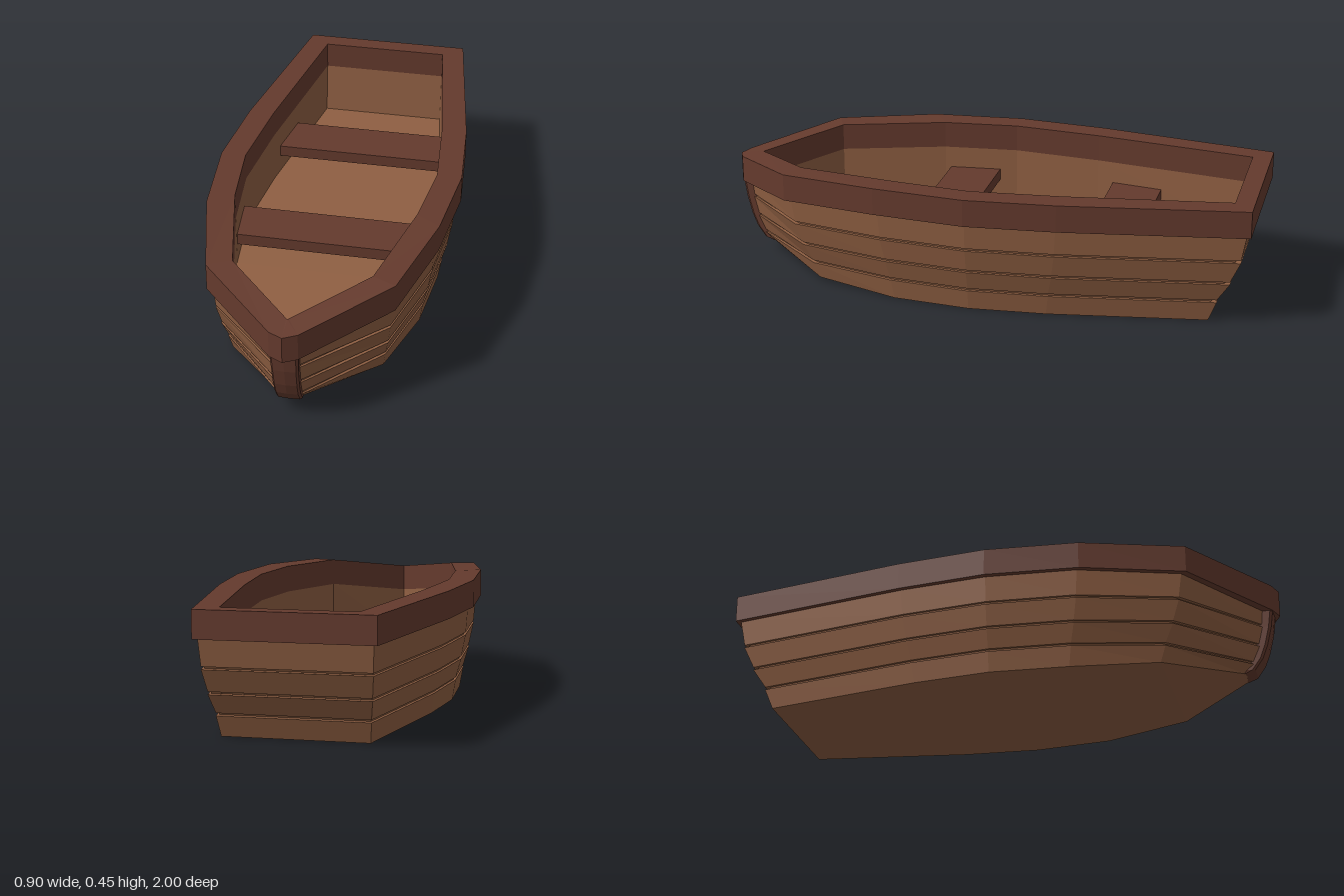
import * as THREE from 'three';

// Closed ring from half-outline points [x, y, z], stern to bow on +x, then mirrored
const ring = half => [
  ...half,
  ...half.slice().reverse().map(([x, y, z]) => [-x, y, z]),
];

// Flat-faced skin through successive rings, with optional caps
function loft(name, halves, material, { bottom = false, top = false } = {}) {
  const rings = halves.map(ring);
  const n = rings[0].length;
  const pos = [];
  const quad = (a, b, c, d) => pos.push(...a, ...d, ...c, ...a, ...c, ...b);
  for (let k = 0; k < rings.length - 1; k++) {
    const lo = rings[k], hi = rings[k + 1];
    for (let i = 0; i < n; i++) {
      const j = (i + 1) % n;
      quad(lo[i], lo[j], hi[j], hi[i]);
    }
  }
  const cap = (r, up) => {
    for (let i = 0; i < n / 2 - 1; i++) {
      const a = r[i], b = r[i + 1], c = r[n - 2 - i], d = r[n - 1 - i];
      if (up) quad(a, b, c, d);
      else quad(a, d, c, b);
    }
  };
  if (bottom) cap(rings[0], false);
  if (top) cap(rings[rings.length - 1], true);
  const g = new THREE.BufferGeometry();
  g.setAttribute('position', new THREE.Float32BufferAttribute(pos, 3));
  g.computeVertexNormals();
  const mesh = new THREE.Mesh(g, material);
  mesh.name = name;
  return mesh;
}

export function createModel() {
  const boat = new THREE.Group();
  boat.name = 'rowingBoat';
  const plank = new THREE.MeshStandardMaterial({ color: 0x8f5f42 });
  plank.name = 'light wood';
  const trim = new THREE.MeshStandardMaterial({ color: 0x643a2d });
  trim.name = 'dark wood';

  // Hull outline at the top of the planking; sheer says how far each point follows the bow
  const outline = [[0.298, -0.985], [0.405, -0.325], [0.432, 0], [0.405, 0.33], [0.315, 0.69]];
  const sheer = [0, 0, 0, 0, 0.35];
  const hullRing = (width, midY, bowY, bowZ) => {
    const s = width / 0.432;
    const pts = outline.map(([x, z], i) => [x * s, midY + (bowY - midY) * sheer[i], z * s]);
    pts.push([0.04, bowY, bowZ - 0.01], [0, bowY, bowZ]);
    return pts;
  };

  // Overlapping planks: a narrow groove at every seam
  const hull = [hullRing(0.375, 0, 0.045, 0.875)];
  const seams = [[0.388, 0.08, 0.083, 0.915], [0.408, 0.16, 0.15, 0.94], [0.424, 0.25, 0.225, 0.955]];
  for (const [w, y, by, bz] of seams) {
    for (const [dw, dy] of [[0, -0.005], [0.009, -0.004], [0.009, 0.004], [0.002, 0.005]]) {
      hull.push(hullRing(w - dw + (dy > 0 ? 0.002 : 0), y + dy, by + dy, bz - dw));
    }
  }
  hull.push(hullRing(0.432, 0.355, 0.295, 0.962));
  boat.add(loft('hullPlanks', hull, plank, { bottom: true }));

  // Rim around the top edge
  const rimOuter = [[0.313, 0.45, -1], [0.422, 0.45, -0.33], [0.452, 0.45, 0], [0.422, 0.45, 0.34],
    [0.33, 0.434, 0.71], [0.05, 0.382, 0.978], [0, 0.378, 1]];
  const rimInner = [[0.238, 0.45, -0.93], [0.328, 0.45, -0.33], [0.36, 0.45, 0], [0.332, 0.45, 0.28],
    [0.245, 0.436, 0.67], [0.004, 0.392, 0.906], [0, 0.392, 0.91]];
  const drop = (half, d) => half.map(([x, y, z]) => [x, y - d, z]);
  const hullTop = hull[hull.length - 1].map(([x, y, z], i) => [x * 0.98, rimOuter[i][1] - 0.1, z * 0.98]);
  boat.add(loft('rim', [hullTop, drop(rimOuter, 0.1), rimOuter, rimInner, drop(rimInner, 0.1)], trim));

  // Inner walls and floor
  const floor = drop(rimInner, 0.292);
  floor[0][2] = -0.912;
  floor[5][2] = 0.89;
  floor[6][2] = 0.894;
  boat.add(loft('innerWallsAndFloor', [drop(rimInner, 0.1), floor], plank, { top: true }));

  // Curved stem post at the bow
  const stem = [[0.042, 0.045, 0.88], [0.045, 0.056, 0.905], [0.045, 0.1, 0.936],
    [0.046, 0.15, 0.955], [0.047, 0.22, 0.972], [0.05, 0.3, 0.983]];
  boat.add(loft('stemPost', stem.map(([w, y, z]) =>
    [[w, y, z - 0.045], [w, y, z - 0.012], [w * 0.85, y, z - 0.003], [0, y, z]]),
  trim, { bottom: true, top: true }));

  // Bench seats, tapered to meet the walls
  const seats = [['frontSeat', 0.365, 0.065, 0.345, 0.258], ['rearSeat', 0.3, -0.583, 0.327, -0.39]];
  for (const [name, x0, z0, x1, z1] of seats) {
    const level = y => [[x0, y, z0], [x1, y, z1]];
    boat.add(loft(name, [level(0.225), level(0.268)], trim, { bottom: true, top: true }));
  }
  return boat;
}
